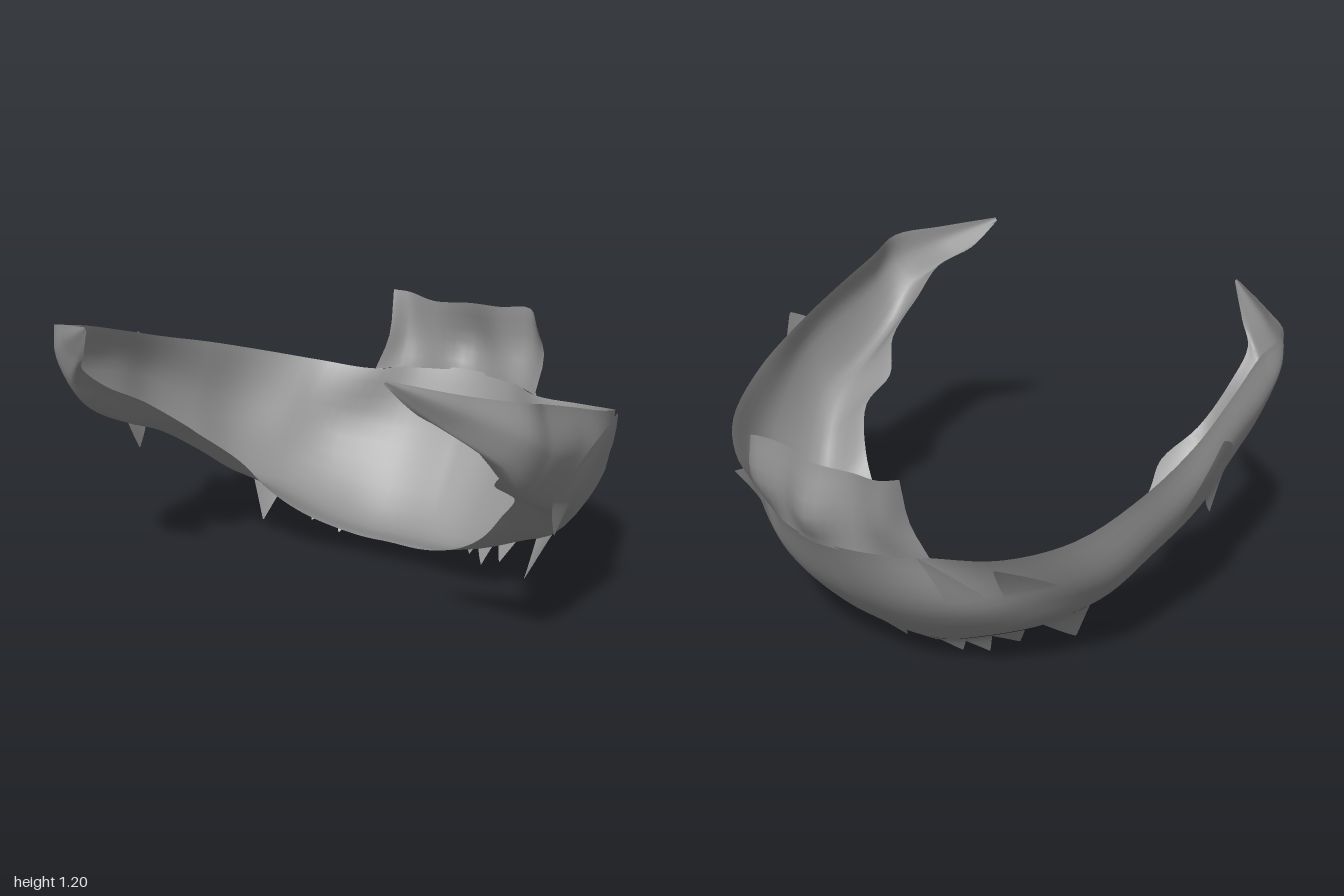
import * as THREE from 'three';
import { ParametricGeometry } from 'three/addons/geometries/ParametricGeometry.js';

const material = new THREE.MeshStandardMaterial({ color: 0x959595, side: THREE.DoubleSide });
const V = (p) => new THREE.Vector3(...p);

// Cross-sections of the collar from the back centre towards a front tip:
// inner edge, belly, outer side, top edge
const sections = [
  [[0, .11, -.15], [0, .05, -.40], [0, .33, -.71], [0, .63, -.87]],
  [[.15, .11, -.15], [.2, .06, -.39], [.22, .33, -.69], [.2, .63, -.83]],
  [[.34, .19, -.07], [.4, .13, -.33], [.46, .36, -.58], [.37, .62, -.72]],
  [[.47, .29, -.01], [.58, .22, -.25], [.64, .42, -.46], [.6, .65, -.63]],
  [[.57, .42, .05], [.7, .31, -.1], [.81, .48, -.29], [.78, .71, -.47]],
  [[.67, .56, .18], [.79, .44, .04], [.88, .6, -.11], [.88, .8, -.22]],
  [[.65, .65, .31], [.85, .56, .2], [.95, .75, .12], [.92, .89, .05]],
  [[.73, .76, .43], [.86, .64, .38], [.95, .83, .31], [.92, .98, .3]],
  [[.75, .88, .63], [.86, .76, .59], [.94, .9, .54], [.91, 1.06, .53]],
];
// The two tips differ a little
const leftTip = [
  [[.73, .99, .75], [.84, .9, .71], [.92, .99, .69], [.91, 1.11, .68]],
  [[.62, 1.07, .84], [.68, 1.05, .82], [.75, 1.09, .81], [.76, 1.145, .8]],
  [[.545, 1.18, .92], [.545, 1.185, .92], [.55, 1.19, .92], [.55, 1.195, .92]],
];
const rightTip = [
  [[-.75, .98, .75], [-.84, .9, .71], [-.92, .99, .69], [-.92, 1.1, .68]],
  [[-.69, 1.05, .81], [-.73, 1.05, .8], [-.8, 1.08, .78], [-.8, 1.14, .77]],
  [[-.61, 1.17, .88], [-.61, 1.175, .88], [-.615, 1.18, .88], [-.615, 1.185, .88]],
];
const mirrored = sections.slice(1).map((s) => s.map(([x, y, z]) => [-x, y, z]));
const loop = [...mirrored, ...rightTip].reverse().concat(sections, leftTip);

// Four rails run from tip to tip
const rails = [0, 1, 2, 3].map((k) => new THREE.CatmullRomCurve3(loop.map((s) => V(s[k]))));
const stationToU = (station) => 0.5 + station / (loop.length - 1);

// Point on the softly folded band: u from tip to tip, v from inner to top edge
function bandPoint(u, v, target) {
  new THREE.CatmullRomCurve3(rails.map((r) => r.getPoint(u))).getPoint(v, target);
  const taper = Math.sin(Math.PI * u) * Math.sin(Math.PI * v);
  const fold = 0.01 * taper * Math.sin(46 * Math.abs(u - 0.5) + 5 * v);
  const r = Math.hypot(target.x, target.z) || 1;
  target.x += fold * target.x / r;
  target.z += fold * target.z / r;
  target.y += fold * 0.4;
  return target;
}

// Upright flap at the back: base, middle and top outline
function flapGeometry() {
  const base = [[-.37, .62, -.72], [-.28, .62, -.785], [-.15, .62, -.84], [0, .62, -.87], [.15, .62, -.84], [.28, .62, -.785], [.37, .62, -.72]];
  const mid = [[-.33, .76, -.77], [-.27, .76, -.84], [-.15, .76, -.85], [0, .74, -.92], [.15, .76, -.86], [.29, .77, -.86], [.38, .78, -.78]];
  const top = [[-.34, .95, -.83], [-.28, .94, -.86], [-.15, .92, -.84], [0, .925, -.87], [.15, .935, -.84], [.28, .94, -.86], [.33, .88, -.81]];
  const rows = [base, mid, top].map((row) => new THREE.CatmullRomCurve3(row.map(V)));
  return new ParametricGeometry((u, v, target) => {
    new THREE.CatmullRomCurve3(rows.map((r) => r.getPoint(u))).getPoint(v, target);
  }, 24, 6);
}

// Short leaf-shaped tuft that grows out of the band and bends away to its tip
function tuftGeometry(station, halfWidth, vRoot, vEnd, tip) {
  const u0 = stationToU(station);
  const w = halfWidth / (loop.length - 1);
  const pull = V(tip).sub(bandPoint(u0, vEnd, new THREE.Vector3()));
  return new ParametricGeometry((s, t, target) => {
    bandPoint(u0 + (2 * s - 1) * w * (1 - 0.97 * t ** 1.5), vRoot + (vEnd - vRoot) * t, target);
    target.addScaledVector(pull, t ** 1.6);
  }, 6, 6);
}

export function createModel() {
  const group = new THREE.Group();
  const add = (name, geometry) => {
    const mesh = new THREE.Mesh(geometry, material);
    mesh.name = name;
    group.add(mesh);
  };

  add('collarBand', new ParametricGeometry(bandPoint, 110, 14));
  add('backFlap', flapGeometry());

  // Tufts: station, half width, root, end, tip
  const tufts = [
    [.65, .28, .42, .34, [.13, .01, -.37]],
    [1.2, .26, .42, .34, [.25, .02, -.38]],
    [1.6, .28, .4, .32, [.33, .015, -.32]],
    [2.15, .3, .4, .32, [.43, .07, -.27]],
    [3.2, .42, .42, .31, [.59, .09, -.14]],
    [6.6, .4, .42, .31, [.87, .51, .3]],
    [6.1, .9, .5, .8, [1, .91, .1]],
    [3, .4, .75, .92, [.59, .62, -.66]],
    [2.05, .3, .75, .95, [.35, .63, -.76]],
  ];
  add('centreTuft', tuftGeometry(0, .3, .42, .34, [0, 0, -.4]));
  for (const side of [1, -1]) {
    for (const [station, w, vRoot, vEnd, [x, y, z]] of tufts) {
      add(side > 0 ? 'leftTuft' : 'rightTuft',
        tuftGeometry(side * station, w, vRoot, vEnd, [side * x, y, z]));
    }
  }
  return group;
}
